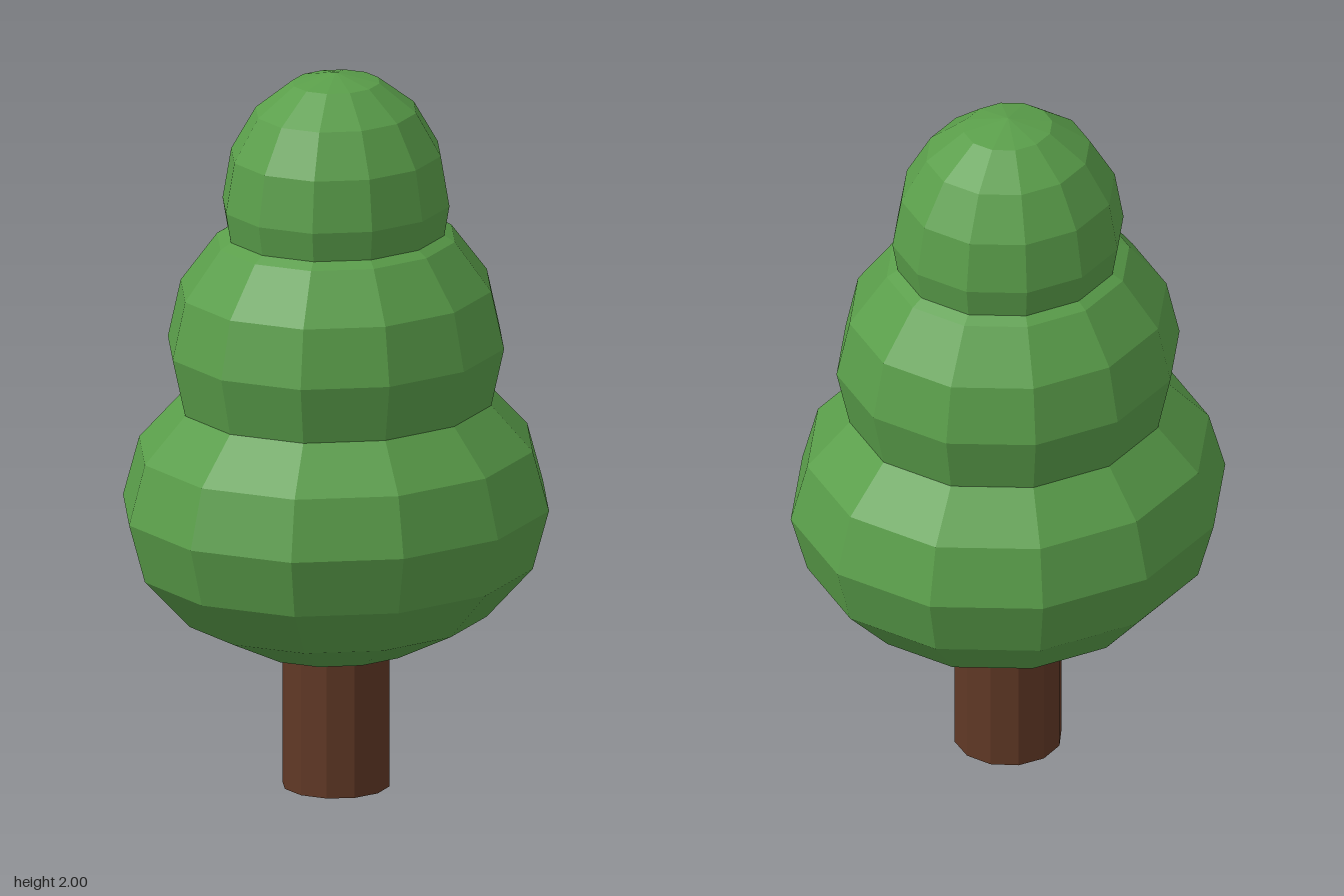
import * as THREE from 'three';

export function createModel() {
  const tree = new THREE.Group();
  tree.name = 'tree';
  const leafGreen = new THREE.MeshStandardMaterial({ name: 'leafGreen', color: 0x5a9e4a, flatShading: true });
  const barkBrown = new THREE.MeshStandardMaterial({ name: 'barkBrown', color: 0x603825, flatShading: true });

  // Trunk, running a little way into the lowest foliage
  const trunk = new THREE.Mesh(new THREE.CylinderGeometry(0.147, 0.147, 0.5, 12), barkBrown);
  trunk.name = 'trunk';
  trunk.position.y = 0.25;
  tree.add(trunk);

  // Three overlapping foliage tiers: name, centre height, radii in x, y, z
  const tiers = [
    ['lowerFoliage', 0.79, 0.612, 0.43, 0.57],
    ['middleFoliage', 1.24, 0.483, 0.417, 0.45],
    ['upperFoliage', 1.635, 0.325, 0.365, 0.304],
  ];
  for (const [name, y, rx, ry, rz] of tiers) {
    const geometry = new THREE.SphereGeometry(1, 12, 8).scale(rx, ry, rz);
    const tier = new THREE.Mesh(geometry, leafGreen);
    tier.name = name;
    tier.position.y = y;
    tree.add(tier);
  }
  return tree;
}
